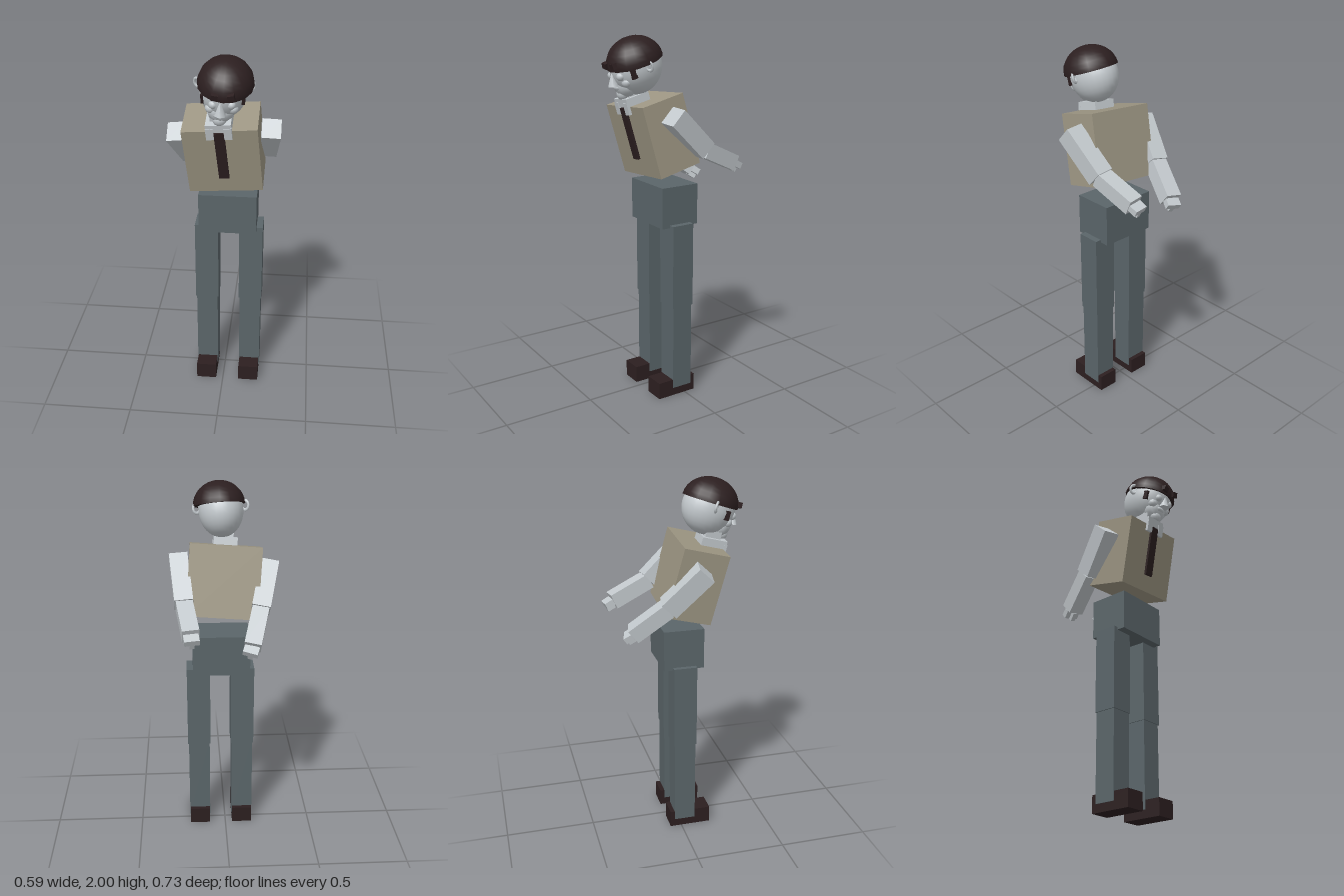
import * as THREE from 'three';

const mat = (name, color) => Object.assign(new THREE.MeshStandardMaterial({ color }), { name });

export function createModel() {
  const skin = mat('pale grey', 0xc3c9cd);
  const vest = mat('tan', 0x9d9683);
  const cloth = mat('slate trousers', 0x5a6569);
  const dark = mat('dark brown', 0x2c1f20);

  const root = new THREE.Group();
  root.name = 'standingMan';

  const add = (parent, name, geo, material, pos = [0, 0, 0], rot = [0, 0, 0], scale = [1, 1, 1]) => {
    const m = new THREE.Mesh(geo, material);
    m.name = name;
    m.position.set(...pos);
    m.rotation.set(...rot);
    m.scale.set(...scale);
    parent.add(m);
    return m;
  };
  const box = (parent, name, size, material, pos, rot) =>
    add(parent, name, new THREE.BoxGeometry(...size), material, pos, rot);

  // Box running from a to b, its width kept as level as the direction allows
  const limb = (name, a, b, width, thick) => {
    const A = new THREE.Vector3(...a), B = new THREE.Vector3(...b);
    const up = A.clone().sub(B);
    const len = up.length();
    up.normalize();
    const x = new THREE.Vector3(1, 0, 0).addScaledVector(up, -up.x).normalize();
    const z = new THREE.Vector3().crossVectors(x, up);
    const m = box(root, name, [width, len, thick], skin, [0, 0, 0]);
    m.quaternion.setFromRotationMatrix(new THREE.Matrix4().makeBasis(x, up, z));
    m.position.copy(A.add(B).multiplyScalar(0.5));
    return m;
  };

  // Legs and shoes
  for (const [side, x] of [['right', -0.0975], ['left', 0.15]]) {
    box(root, side + 'Thigh', [0.13, 0.47, 0.13], cloth, [x, 0.765, 0.02]);
    box(root, side + 'Shin', [0.12, 0.5, 0.12], cloth, [x, 0.295, 0.02]);
    box(root, side + 'Shoe', [0.114, 0.095, 0.235], dark, [x, 0.0475, 0.053]);
  }
  box(root, 'hips', [0.315, 0.225, 0.225], cloth, [0.0225, 1.0975, 0.018]);

  // Torso leaning forward, with tie and collar
  const torso = new THREE.Group();
  torso.name = 'torso';
  torso.position.set(0.005, 1.475, 0.08);
  torso.rotation.set(0.245, 0, 0.075);
  root.add(torso);
  box(torso, 'vest', [0.388, 0.388, 0.252], vest);
  box(torso, 'tie', [0.053, 0.285, 0.016], dark, [0, 0.045, 0.132]);
  box(torso, 'collar', [0.13, 0.045, 0.14], skin, [0, 0.215, 0.068]);
  for (const s of [-1, 1])
    box(torso, 'collarFlap', [0.04, 0.065, 0.016], skin, [s * 0.046, 0.185, 0.134]);
  box(torso, 'neck', [0.085, 0.09, 0.085], skin, [0, 0.24, 0.06]);

  // Arms swept behind the back
  const arms = [
    ['left', [0.248, 1.6, 0.11], [0.222, 1.405, -0.098], [0.19, 1.308, -0.312], [0.184, 1.285, -0.356]],
    ['right', [-0.248, 1.562, 0.1], [-0.188, 1.365, -0.085], [-0.132, 1.22, -0.262], [-0.116, 1.193, -0.3]],
  ];
  for (const [side, shoulder, elbow, wrist, tip] of arms) {
    limb(side + 'UpperArm', shoulder, elbow, 0.1, 0.106);
    limb(side + 'Forearm', elbow, wrist, 0.09, 0.085);
    limb(side + 'Hand', wrist, tip, 0.08, 0.035);
    limb(side + 'Thumb', wrist, tip, 0.025, 0.025).translateZ(0.03);
  }

  // Head and hair
  const head = new THREE.Group();
  head.name = 'head';
  head.position.set(0.012, 1.838, 0.188);
  head.rotation.set(0.32, 0, -0.06);
  root.add(head);
  add(head, 'skull', new THREE.SphereGeometry(1, 24, 16), skin, [0, 0, 0], [0, 0, 0], [0.122, 0.145, 0.146]);
  const dome = new THREE.SphereGeometry(1, 16, 8, 0, Math.PI * 2, 0, Math.PI / 2);
  const hair = [[0.007, 0.03, 0.002], [0, 0, 0], [0.142, 0.131, 0.154]];
  add(head, 'hair', dome, dark, ...hair);
  add(head, 'hairUnderside', new THREE.CircleGeometry(1, 16), dark,
    hair[0], [Math.PI / 2, 0, 0], [0.142, 0.154, 1]);

  // Face
  const ball = new THREE.SphereGeometry(1, 12, 8);
  add(root, 'jaw', ball, skin, [0, 1.745, 0.245], [0.5, 0, 0], [0.07, 0.065, 0.06]);
  add(root, 'chin', ball, skin, [-0.006, 1.7, 0.258], [0, 0, 0], [0.036, 0.034, 0.032]);
  add(root, 'lips', ball, skin, [-0.003, 1.735, 0.288], [0, 0, 0], [0.032, 0.018, 0.02]);
  add(root, 'nose', new THREE.ConeGeometry(0.03, 0.085, 6), skin, [0.006, 1.785, 0.322], [0.1, 0, -0.06]);
  for (const s of [-1, 1]) {
    add(root, 'eye', ball, skin, [0.013 + s * 0.045, 1.795, 0.306], [0, 0, 0], [0.022, 0.022, 0.022]);
    add(root, 'cheek', ball, skin, [0.008 + s * 0.055, 1.765, 0.275], [0, 0, 0], [0.028, 0.026, 0.026]);
    box(root, 'eyebrow', [0.034, 0.03, 0.03], dark, [0.02 + s * 0.04, 1.848, 0.345], [0.3, 0, s * 0.2]);
    box(root, 'sideburn', [0.016, 0.05, 0.03], dark, [0.012 + s * 0.1, 1.81, 0.258], [0.3, 0, 0]);
    add(head, 'ear', new THREE.TorusGeometry(0.02, 0.007, 6, 12), skin,
      [s * 0.132, 0.018, -0.004], [0, s * 0.5, 0], [1, 1.25, 1]);
  }
  return root;
}
